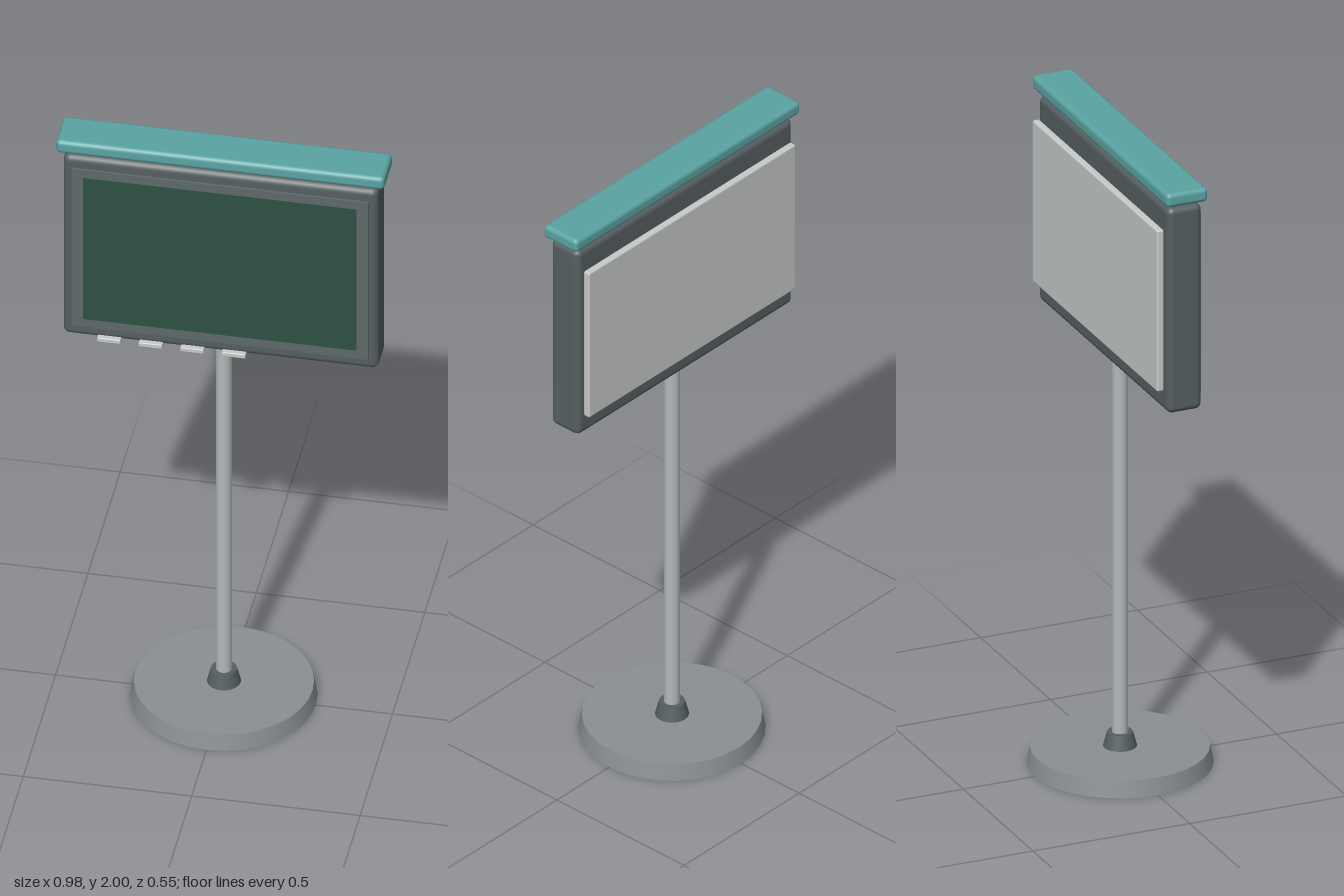
import * as THREE from 'three';
import { RoundedBoxGeometry } from 'three/addons/geometries/RoundedBoxGeometry.js';

const material = (name, color) => {
  const m = new THREE.MeshStandardMaterial({ color });
  m.name = name;
  return m;
};

export function createModel() {
  const group = new THREE.Group();
  const casing = material('dark slate', 0x565f61);
  const bezel = material('slate grey', 0x5f696b);
  const board = material('chalkboard green', 0x2e5142);
  const teal = material('teal', 0x5ba3a3);
  const metal = material('light metal', 0xb2b8b8);
  const panelGrey = material('pale grey', 0xc6cac8);
  const baseGrey = material('base grey', 0x8b9092);

  const add = (name, geometry, mat, x, y, z) => {
    const mesh = new THREE.Mesh(geometry, mat);
    mesh.name = name;
    mesh.position.set(x, y, z);
    group.add(mesh);
    return mesh;
  };
  // Box given by its minimum and maximum corners, optionally rounded
  const box = (name, mat, [x0, y0, z0], [x1, y1, z1], r = 0) => {
    const size = [x1 - x0, y1 - y0, z1 - z0];
    const geometry = r ? new RoundedBoxGeometry(...size, 3, r) : new THREE.BoxGeometry(...size);
    return add(name, geometry, mat, (x0 + x1) / 2, (y0 + y1) / 2, (z0 + z1) / 2);
  };

  // Stand
  add('base', new THREE.CylinderGeometry(0.263, 0.273, 0.052, 32), baseGrey, 0, 0.026, 0);
  add('collar', new THREE.CylinderGeometry(0.038, 0.05, 0.046, 20), casing, 0, 0.074, 0);
  add('pole', new THREE.CylinderGeometry(0.024, 0.024, 1.26, 20), metal, 0, 0.68, 0);

  // Display housing and roof
  box('housing', casing, [-0.468, 1.292, -0.054], [0.468, 1.944, 0.056], 0.02);
  box('roof', teal, [-0.488, 1.956, -0.066], [0.488, 2, 0.066], 0.014);

  // Front bezel as a frame around the board
  const rect = (Kind, w, h) => {
    const p = new Kind();
    p.moveTo(-w, -h).lineTo(w, -h).lineTo(w, h).lineTo(-w, h).closePath();
    return p;
  };
  const frame = rect(THREE.Shape, 0.44, 0.286);
  frame.holes.push(rect(THREE.Path, 0.406, 0.258));
  add('bezel', new THREE.ExtrudeGeometry(frame, { depth: 0.012, bevelEnabled: false }), bezel, 0, 1.618, 0.051);
  box('boardFace', board, [-0.406, 1.36, 0.054], [0.406, 1.876, 0.0625]);

  // Back panel
  box('backPanel', panelGrey, [-0.449, 1.362, -0.081], [0.449, 1.874, -0.058], 0.006);
  box('backPanelMount', casing, [-0.4, 1.41, -0.064], [0.4, 1.82, -0.05]);

  // Row of small clips under the front edge
  for (let i = 0; i < 4; i++) {
    const x = -0.329 + i * 0.1235;
    box('clip' + (i + 1), panelGrey, [x - 0.035, 1.288, 0.048], [x + 0.035, 1.303, 0.07], 0.003);
  }
  return group;
}
